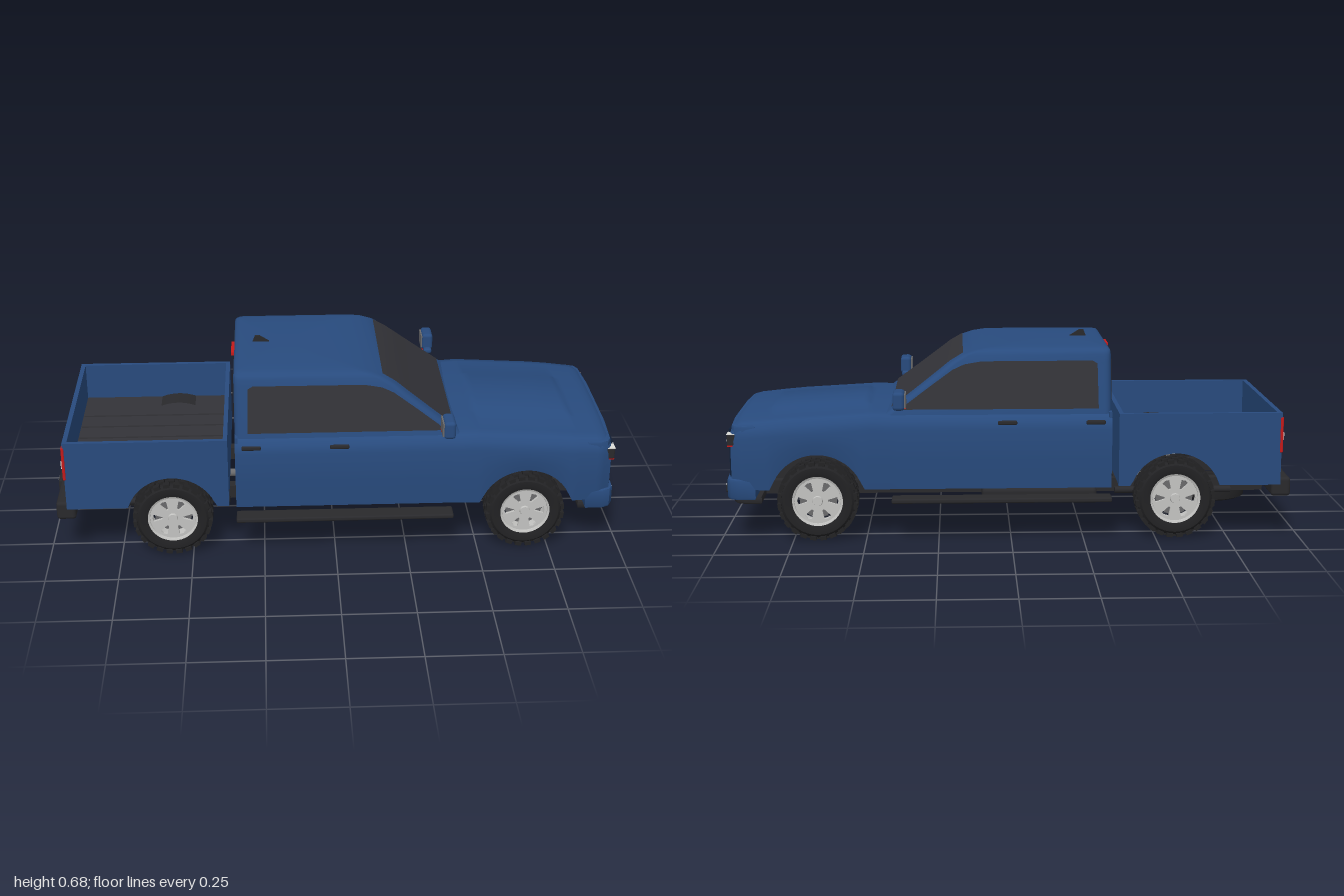
import * as THREE from 'three';
import { toCreasedNormals } from 'three/addons/utils/BufferGeometryUtils.js';
import { RoundedBoxGeometry } from 'three/addons/geometries/RoundedBoxGeometry.js';

const mat = (name, color) => new THREE.MeshStandardMaterial({ name, color, side: THREE.DoubleSide });

export function createModel() {
  const truck = new THREE.Group();
  truck.name = 'pickupTruck';
  const paint = mat('blue paint', 0x284b7e), navy = mat('dark blue recess', 0x101e35);
  const glass = mat('tinted glass', 0x333338), trim = mat('black trim', 0x29292c);
  const rubber = mat('tyre rubber', 0x222224), silver = mat('silver alloy', 0xc4c4c2);
  const metal = mat('chassis metal', 0x6a6a6c), red = mat('red lamp', 0xc41a1a), lens = mat('white lens', 0xdcdcd8);
  const sides = [1, -1];

  const add = (name, geo, m, parent = truck) => {
    const mesh = new THREE.Mesh(geo, m);
    mesh.name = name;
    parent.add(mesh);
    return mesh;
  };
  // Box given by its extents; a radius rounds it
  const box = (name, m, x0, x1, y0, y1, z0, z1, r = 0) => {
    const s = [Math.abs(x1 - x0), y1 - y0, Math.abs(z1 - z0)];
    const mesh = add(name, r ? new RoundedBoxGeometry(...s, 2, r) : new THREE.BoxGeometry(...s), m);
    mesh.position.set((x0 + x1) / 2, (y0 + y1) / 2, (z0 + z1) / 2);
  };
  // Rod between two points
  const rod = (name, m, a, b, r) => {
    const p = new THREE.Vector3(...a), q = new THREE.Vector3(...b), d = q.clone().sub(p);
    const mesh = add(name, new THREE.CylinderGeometry(r, r, d.length(), 14), m);
    mesh.position.copy(p).add(q).multiplyScalar(0.5);
    mesh.quaternion.setFromUnitVectors(new THREE.Vector3(0, 1, 0), d.normalize());
  };
  // Skin over equal-length rows of points
  const loft = (rows, closed = false) => {
    const n = rows[0].length, index = [];
    for (let i = 0; i < rows.length - 1; i++)
      for (let j = 0; j < (closed ? n : n - 1); j++) {
        const k = (j + 1) % n, a = i * n + j, b = i * n + k, c = a + n, d = b + n;
        index.push(a, c, b, b, c, d);
      }
    const g = new THREE.BufferGeometry();
    g.setAttribute('position', new THREE.Float32BufferAttribute(rows.flat(2), 3));
    g.setIndex(index);
    return toCreasedNormals(g, 0.9);
  };
  // Piecewise-linear lookup
  const lerpTable = (t, x) => {
    if (x <= t[0][0]) return t[0][1];
    for (let i = 1; i < t.length; i++)
      if (x <= t[i][0]) return t[i - 1][1] + (t[i][1] - t[i - 1][1]) * (x - t[i - 1][0]) / (t[i][0] - t[i - 1][0]);
    return t[t.length - 1][1];
  };

  // Lower cab, fenders and hood in one skin, with the wheel arch cut into its bottom edge
  const FRONT = 0.665, REAR = -0.567, AXLE = 0.14;
  const hoodTop = [[-0.345, 0.447], [0.42, 0.447], [0.48, 0.45], [0.75, 0.435], [0.92, 0.42], [0.945, 0.412], [0.958, 0.395]];
  const bodyHalf = [[-0.345, 0.343], [0.4, 0.344], [0.5, 0.348], [0.83, 0.348], [0.92, 0.338], [0.958, 0.318]];
  const archY = (x, c, r, base) => Math.abs(x - c) < r ? Math.max(base, AXLE + Math.sqrt(r * r - (x - c) ** 2)) : base;
  const bodyRows = [];
  for (let i = 0; i <= 100; i++) {
    const x = -0.345 + 1.303 * i / 100;
    const w = lerpTable(bodyHalf, x), t = lerpTable(hoodTop, x), b = archY(x, FRONT, 0.164, 0.182);
    const h = x > 0.5 && x < 0.84 ? 0.008 : 0;
    const half = [[w - 0.007, b], [w, (b + t - 0.06) / 2], [w, t - 0.06], [w - 0.006, t - 0.03], [w - 0.025, t - 0.011],
      [w - 0.06, t - 0.005], [0.17, t - 0.002], [0.15, t + h], [0, t + h + 0.002]];
    bodyRows.push([...half.map(([z, y]) => [x, y, z]), ...half.slice(0, -1).reverse().map(([z, y]) => [x, y, -z])]);
  }
  add('cabAndHoodBody', loft(bodyRows), paint);
  box('cabRearWall', paint, -0.345, -0.335, 0.185, 0.445, -0.33, 0.33);
  box('cabFloor', trim, -0.34, 0.5, 0.183, 0.195, -0.33, 0.33);

  // Greenhouse: rounded rectangles stacked upward [y, back, front, half width]
  const levels = [[0.435, -0.345, 0.435, 0.318], [0.46, -0.345, 0.402, 0.313], [0.52, -0.345, 0.322, 0.3], [0.58, -0.345, 0.244, 0.287],
    [0.61, -0.345, 0.206, 0.28], [0.635, -0.345, 0.166, 0.275], [0.648, -0.343, 0.13, 0.269], [0.655, -0.337, 0.095, 0.258],
    [0.659, -0.325, 0.06, 0.235], [0.663, -0.28, -0.03, 0.15], [0.664, -0.155, -0.155, 0]];
  const ring = ([y, b, f, w]) => {
    const r = Math.min(0.025, w / 2, (f - b) / 2), pts = [];
    [[f - r, w - r], [b + r, w - r], [b + r, -w + r], [f - r, -w + r]].forEach(([x, z], q) => {
      for (let k = 0; k <= 4; k++) {
        const a = (q + k / 4) * Math.PI / 2;
        pts.push([x + r * Math.cos(a), y, z + r * Math.sin(a)]);
      }
    });
    return pts;
  };
  add('cabRoofAndPillars', loft(levels.map(ring), true), paint);
  const cabHalf = levels.map(l => [l[0], l[3]]), cabFront = levels.map(l => [l[0], l[2]]);

  // Glazing
  add('windshield', loft([0.457, 0.52, 0.58, 0.61, 0.637].map(y =>
    sides.map(s => [lerpTable(cabFront, y) + 0.003, y + 0.003, s * (lerpTable(cabHalf, y) - 0.03)]))), glass);
  add('rearWindow', loft([0.475, 0.615].map(y => sides.map(s => [-0.348, y, s * (lerpTable(cabHalf, y) - 0.035)]))), glass);
  const winShape = new THREE.Shape([[-0.3, 0.455], [0.375, 0.455], [0.355, 0.475], [0.28, 0.53], [0.2, 0.587], [0.16, 0.605],
    [0.1, 0.615], [-0.28, 0.616], [-0.297, 0.606]].map(p => new THREE.Vector2(...p)));
  for (const s of sides) {
    const g = new THREE.ShapeGeometry(winShape), p = g.attributes.position;
    for (let i = 0; i < p.count; i++) p.setZ(i, s * (lerpTable(cabHalf, p.getY(i)) + 0.003));
    g.computeVertexNormals();
    add('sideWindow', g, glass);
    // Mirror, door handles and running board
    box('mirrorHousing', paint, 0.36, 0.4, 0.47, 0.533, s * 0.34, s * 0.424, 0.012);
    box('mirrorGlass', metal, 0.356, 0.361, 0.478, 0.525, s * 0.348, s * 0.416);
    box('mirrorArm', paint, 0.365, 0.395, 0.462, 0.482, s * 0.322, s * 0.357, 0.008);
    box('mirrorSignal', red, 0.358, 0.368, 0.464, 0.472, s * 0.33, s * 0.35);
    for (const x of [-0.322, -0.02]) box('doorHandle', trim, x, x + 0.066, 0.405, 0.42, s * 0.338, s * 0.349, 0.005);
    box('runningBoard', trim, -0.345, 0.41, 0.138, 0.155, s * 0.31, s * 0.374, 0.006);
  }
  const fin = add('roofAntenna', new THREE.ExtrudeGeometry(new THREE.Shape([[-0.28, 0.66], [-0.215, 0.66], [-0.255, 0.685], [-0.27, 0.685]]
    .map(p => new THREE.Vector2(...p))), { depth: 0.008, bevelEnabled: false }), trim);
  fin.position.z = -0.004;
  box('highBrakeLamp', red, -0.355, -0.343, 0.632, 0.642, -0.05, 0.05);

  // Nose blocks: plan outline extruded upward
  const planBlock = (name, m, y0, y1, back, d, w) => {
    const half = [[back, w], [0.915 + d, w], [0.942 + d, w - 0.012], [0.955 + d, w - 0.035], [0.964 + d, 0.16]];
    const s = new THREE.Shape([...half, ...half.slice().reverse().map(([x, z]) => [x, -z])].map(([x, z]) => new THREE.Vector2(x, -z)));
    const g = new THREE.ExtrudeGeometry(s, { depth: y1 - y0 - 0.016, bevelSize: 0.008, bevelThickness: 0.008, bevelOffset: -0.008, bevelSegments: 2 });
    g.rotateX(-Math.PI / 2).translate(0, y0 + 0.008, 0);
    add(name, toCreasedNormals(g, 0.6), m);
  };
  planBlock('noseFascia', paint, 0.2, 0.405, 0.87, 0, 0.334);
  planBlock('frontBumper', paint, 0.145, 0.218, 0.875, 0.02, 0.336);
  planBlock('bumperLowerLip', trim, 0.12, 0.148, 0.86, 0.005, 0.29);
  box('grilleRecess', navy, 0.955, 0.967, 0.218, 0.385, -0.285, 0.285);
  box('grillePanel', trim, 0.95, 0.975, 0.222, 0.38, -0.216, 0.216, 0.01);
  box('grilleBar', paint, 0.97, 0.982, 0.307, 0.316, -0.197, 0.197, 0.004);
  [0.337, 0.322, 0.298, 0.28, 0.262, 0.244].forEach((y, r) => {
    const n = r % 2 ? 9 : 10;
    for (let i = 0; i < n; i++) {
      const z = (i - (n - 1) / 2) * 0.036;
      box('grilleSlot', rubber, 0.972, 0.98, y - 0.005, y + 0.005, z - 0.013, z + 0.013, 0.003);
    }
  });
  const disc = (name, m, r, x, y, z) => {
    const c = add(name, new THREE.CylinderGeometry(r, r, 0.008, 20), m);
    c.rotation.z = Math.PI / 2;
    c.position.set(x, y, z);
  };
  for (const s of sides) {
    box('headlampHousing', trim, 0.925, 0.969, 0.334, 0.373, s * 0.224, s * 0.324, 0.005);
    box('headlampTopStrip', lens, 0.93, 0.97, 0.372, 0.375, s * 0.226, s * 0.322);
    box('headlampMarker', red, 0.928, 0.968, 0.33, 0.336, s * 0.285, s * 0.322);
    for (const z of [0.249, 0.289]) disc('headlampLens', lens, 0.013, 0.968, 0.35, s * z);
    box('fogLampPlate', trim, 0.955, 0.987, 0.157, 0.184, s * 0.21, s * 0.262, 0.004);
    disc('fogLampLens', lens, 0.012, 0.986, 0.17, s * 0.235);
    box('towHook', red, 0.95, 1, 0.135, 0.148, s * 0.136, s * 0.149, 0.005);
  }

  // Cargo bed
  const bedSide = new THREE.Shape();
  bedSide.moveTo(-0.37, 0.44).lineTo(-0.93, 0.44);
  for (let i = 0; i <= 56; i++) {
    const x = -0.93 + 0.01 * i;
    bedSide.lineTo(x, archY(x, REAR, 0.16, 0.187));
  }
  for (const s of sides) {
    const g = new THREE.ExtrudeGeometry(bedSide, { depth: 0.016, bevelEnabled: false });
    add('bedSideWall', g, paint).position.z = s > 0 ? 0.32 : -0.336;
    const well = add('bedWheelWell', new THREE.CylinderGeometry(0.178, 0.178, 0.085, 28, 1, true, Math.PI / 2 + 0.4, Math.PI - 0.8), trim);
    well.rotation.x = Math.PI / 2;
    well.position.set(REAR, AXLE, s * 0.278);
    box('tailLamp', red, -0.935, -0.924, 0.3, 0.425, s * 0.31, s * 0.338, 0.004);
    box('reverseLamp', lens, -0.938, -0.93, 0.345, 0.37, s * 0.314, s * 0.334);
  }
  box('bedFrontWall', paint, -0.385, -0.37, 0.19, 0.44, -0.325, 0.325);
  box('tailgate', paint, -0.93, -0.914, 0.2, 0.44, -0.325, 0.325);
  box('tailgatePanel', trim, -0.935, -0.928, 0.25, 0.375, -0.215, 0.215);
  box('bedFloor', glass, -0.92, -0.375, 0.298, 0.306, -0.322, 0.322);
  for (let i = 0; i < 5; i++) box('bedFloorRib', glass, -0.91, -0.39, 0.304, 0.311, -0.21 + i * 0.09, -0.15 + i * 0.09);
  box('rearBumper', trim, -0.967, -0.9, 0.145, 0.212, -0.335, 0.335, 0.012);
  box('rearBumperStep', trim, -0.982, -0.95, 0.15, 0.195, -0.135, 0.135, 0.006);
  box('towHitch', metal, -1, -0.82, 0.115, 0.135, -0.014, 0.014);

  // Chassis
  for (const s of sides) {
    box('frameRail', trim, -0.9, 0.93, 0.128, 0.175, s * 0.13, s * 0.17);
    rod('frontControlArm', metal, [FRONT, 0.11, s * 0.12], [FRONT, 0.102, s * 0.25], 0.006);
    rod('frontHalfShaft', trim, [FRONT, AXLE, s * 0.08], [FRONT, AXLE, s * 0.26], 0.012);
    rod('leafSpring', trim, [-0.78, 0.14, s * 0.2], [-0.37, 0.14, s * 0.2], 0.012);
  }
  for (const x of [-0.88, -0.4, -0.1, 0.25, 0.5, 0.85]) box('crossMember', trim, x - 0.025, x + 0.025, 0.135, 0.165, -0.15, 0.15);
  box('engineSkidPlate', trim, 0.5, 0.9, 0.125, 0.14, -0.13, 0.13);
  box('engineBlock', trim, 0.45, 0.85, 0.14, 0.25, -0.1, 0.1);
  box('transmission', metal, 0.25, 0.48, 0.115, 0.17, -0.05, 0.05, 0.015);
  box('fuelTank', trim, -0.3, 0.1, 0.118, 0.17, -0.29, -0.18, 0.015);
  rod('driveShaft', metal, [REAR, AXLE, 0], [0.3, 0.145, 0], 0.014);
  rod('exhaustPipe', metal, [-0.45, 0.122, 0.08], [0.4, 0.135, 0.08], 0.01);
  rod('muffler', metal, [-0.33, 0.138, 0.08], [-0.12, 0.138, 0.08], 0.024);
  rod('rearAxle', trim, [REAR, AXLE, -0.27], [REAR, AXLE, 0.27], 0.02);
  add('rearDifferential', new THREE.SphereGeometry(0.045, 16, 12), trim).position.set(REAR, AXLE, 0);

  // Wheels, built about the z axis with the outer face at +z
  const lathe = pts => toCreasedNormals(new THREE.LatheGeometry(pts.map(p => new THREE.Vector2(...p)), 40), 0.6).rotateX(Math.PI / 2);
  const tyreGeo = lathe([[0.086, -0.042], [0.1, -0.047], [0.118, -0.046], [0.129, -0.036], [0.131, 0], [0.129, 0.036], [0.118, 0.046], [0.1, 0.047], [0.086, 0.042]]);
  const barrelGeo = lathe([[0.086, -0.042], [0.08, -0.035], [0.078, 0.03], [0.08, 0.04], [0.087, 0.043]]);
  const face = new THREE.Shape().absarc(0, 0, 0.083, 0, Math.PI * 2);
  for (let i = 0; i < 6; i++) {
    const a = i * Math.PI / 3, hole = [[0.036, -0.1], [0.068, -0.2], [0.071, 0], [0.068, 0.2], [0.036, 0.1]];
    face.holes.push(new THREE.Path(hole.map(([r, t]) => new THREE.Vector2(r * Math.cos(a + t), r * Math.sin(a + t)))));
  }
  const faceGeo = new THREE.ExtrudeGeometry(face, { depth: 0.01, bevelEnabled: false, curveSegments: 32 });
  const lugGeo = new THREE.BoxGeometry(0.013, 0.022, 0.02);
  for (const x of [FRONT, REAR])
    for (const s of sides) {
      const wheel = new THREE.Group();
      wheel.name = x > 0 ? 'frontWheel' : 'rearWheel';
      wheel.position.set(x, AXLE, s * 0.292);
      if (s < 0) wheel.rotation.y = Math.PI;
      truck.add(wheel);
      add('tyre', tyreGeo, rubber, wheel);
      add('rimBarrel', barrelGeo, silver, wheel);
      add('rimFace', faceGeo, silver, wheel).position.z = 0.026;
      add('brakeDisc', new THREE.CylinderGeometry(0.065, 0.065, 0.012, 24).rotateX(Math.PI / 2), metal, wheel);
      add('hubCap', new THREE.CylinderGeometry(0.016, 0.02, 0.014, 16).rotateX(Math.PI / 2), silver, wheel).position.z = 0.036;
      [-0.037, -0.0125, 0.0125, 0.037].forEach((z, row) => {
        for (let i = 0; i < 24; i++) {
          const a = (i + (row % 2) / 2) * Math.PI / 12, lug = add('treadBlock', lugGeo, rubber, wheel);
          const r = row % 3 ? 0.1325 : 0.131;
          lug.position.set(r * Math.cos(a), r * Math.sin(a), z);
          lug.rotation.z = a;
        }
      });
    }
  const spare = add('spareTyre', tyreGeo, rubber);
  spare.rotation.x = Math.PI / 2;
  spare.scale.z = 0.6;
  spare.position.set(-0.735, 0.103, 0);
  return truck;
}
